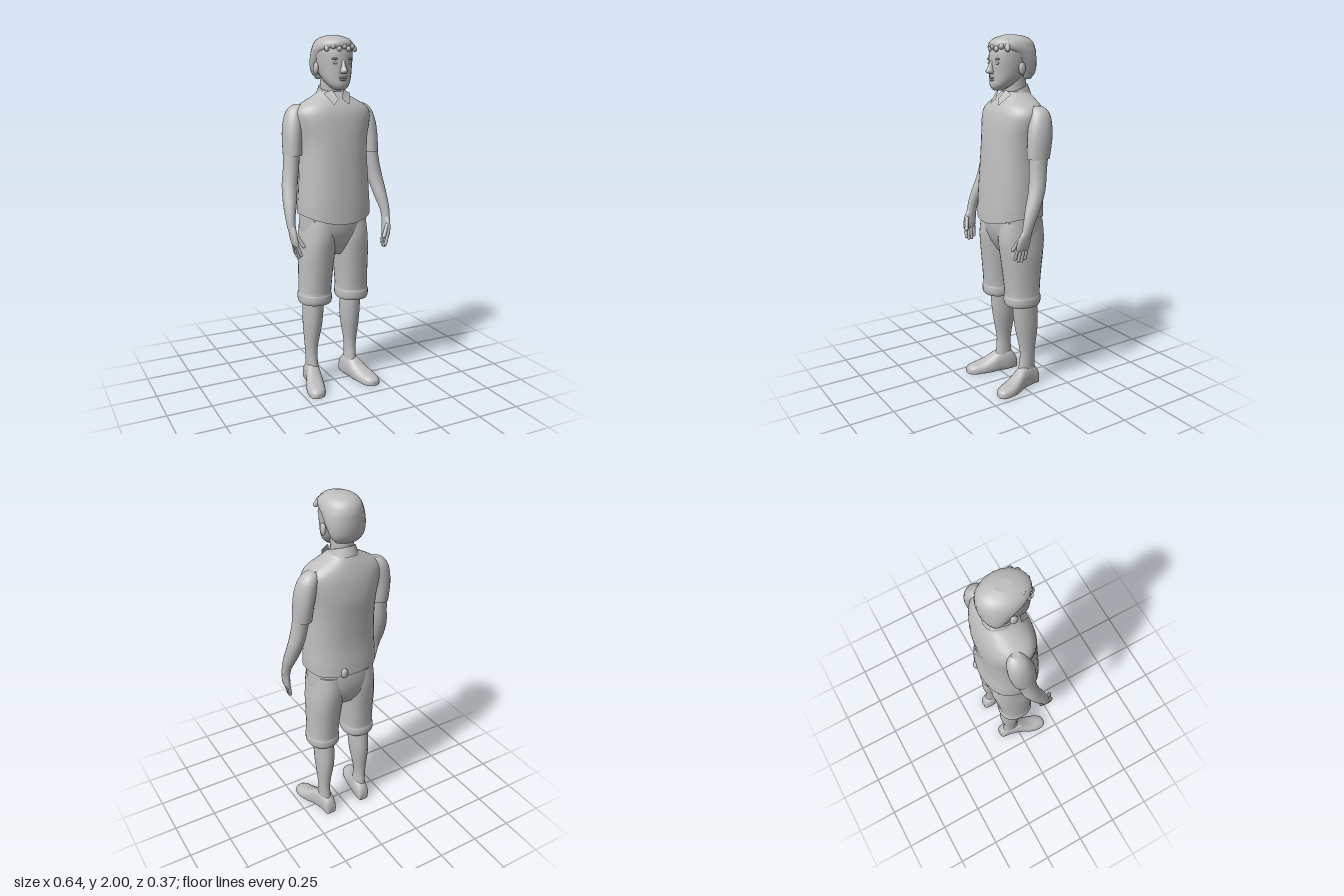
import * as THREE from 'three';

const grey = new THREE.MeshStandardMaterial({ color: 0xbebebe, side: THREE.DoubleSide });
grey.name = 'plain grey';

// Smooth closed skin over rings [height, centre x, half width, front z, back z], listed upward.
// p below 1 makes the rings squarer; adjust(v) may move each vertex.
function loft(rings, { p = 1, seg = 24, sub = 3, adjust } = {}) {
  const mix = (i, f) => rings[i].map((_, k) => {
    const at = (j) => rings[Math.min(rings.length - 1, Math.max(0, j))][k];
    const [a, b, c, d] = [at(i - 1), at(i), at(i + 1), at(i + 2)];
    return b + 0.5 * f * (c - a + f * (2 * a - 5 * b + 4 * c - d + f * (3 * (b - c) + d - a)));
  });
  const rows = [];
  for (let i = 0; i < rings.length - 1; i++) for (let s = 0; s < sub; s++) rows.push(mix(i, s / sub));
  rows.push(rings[rings.length - 1]);

  const pos = [], idx = [], v = new THREE.Vector3();
  const put = (row, t, r = 1) => {
    const [y, cx, rx, zf, zb] = row;
    const s = Math.sin(t), c = Math.cos(t);
    v.set(cx + r * rx * Math.sign(s) * Math.abs(s) ** p, y,
      (zf + zb) / 2 + r * ((zf - zb) / 2) * Math.sign(c) * Math.abs(c) ** p);
    if (adjust) adjust(v);
    pos.push(v.x, v.y, v.z);
  };
  const angle = (j) => (j / seg) * Math.PI * 2;
  rows.forEach((row, i) => {
    for (let j = 0; j < seg; j++) {
      put(row, angle(j));
      if (i === rows.length - 1) continue;
      const a = i * seg + j, b = i * seg + (j + 1) % seg;
      idx.push(a, b, b + seg, a, b + seg, a + seg);
    }
  });
  // End caps with their own vertices so the rims stay crisp
  [rows[0], rows[rows.length - 1]].forEach((row, end) => {
    const start = pos.length / 3;
    put(row, 0, 0);
    for (let j = 0; j < seg; j++) put(row, angle(j));
    for (let j = 0; j < seg; j++) {
      const a = start + 1 + j, b = start + 1 + (j + 1) % seg;
      idx.push(start, ...(end ? [a, b] : [b, a]));
    }
  });
  const g = new THREE.BufferGeometry();
  g.setAttribute('position', new THREE.Float32BufferAttribute(pos, 3));
  g.setIndex(idx);
  g.computeVertexNormals();
  return g;
}

// Rounded rod between two points
function rod(a, b, r) {
  const A = new THREE.Vector3(...a), B = new THREE.Vector3(...b);
  const d = B.clone().sub(A);
  const g = new THREE.CapsuleGeometry(r, d.length(), 4, 10);
  g.applyQuaternion(new THREE.Quaternion().setFromUnitVectors(new THREE.Vector3(0, 1, 0), d.normalize()));
  return g.translate(...A.add(B).multiplyScalar(0.5).toArray());
}

const blob = (x, y, z, rx, ry, rz) => new THREE.SphereGeometry(1, 16, 10).scale(rx, ry, rz).translate(x, y, z);

export function createModel() {
  const model = new THREE.Group();
  model.name = 'standingMan';
  const add = (name, geometry) => {
    const mesh = new THREE.Mesh(geometry, grey);
    mesh.name = name;
    model.add(mesh);
  };

  // Shirt with a curved hem, lowest at the front
  add('shirt', loft([
    [0.985, 0, 0.208, 0.16, -0.172], [1.08, 0, 0.207, 0.157, -0.168], [1.2, 0, 0.2, 0.15, -0.16],
    [1.35, 0, 0.193, 0.14, -0.167], [1.45, 0, 0.2, 0.13, -0.174], [1.52, 0, 0.215, 0.12, -0.17],
    [1.58, 0, 0.222, 0.107, -0.16], [1.62, 0, 0.2, 0.09, -0.148], [1.65, 0, 0.15, 0.07, -0.137],
    [1.68, 0, 0.095, 0.045, -0.122], [1.7, 0, 0.07, 0.03, -0.11],
  ], { p: 0.88, seg: 36, adjust: (v) => {
    const k = THREE.MathUtils.clamp((1.12 - v.y) / 0.135, 0, 1);
    v.y += k * Math.max(0.045 * (v.x / 0.208) ** 2, v.z < 0 ? 0.035 * Math.min(1, -v.z / 0.1) : 0);
  } }));
  add('backPocketBulge', blob(0.06, 1.04, -0.168, 0.02, 0.03, 0.014));

  // Collar band tilted down to the front
  add('collar', loft([[1.66, 0, 0.085, 0.06, -0.128], [1.715, 0, 0.068, 0.03, -0.108]],
    { sub: 1, adjust: (v) => { v.y -= (v.z + 0.035) * 0.35; } }));

  // Neck and head
  add('neck', loft([[1.6, 0, 0.062, 0.03, -0.11], [1.7, 0, 0.06, 0.022, -0.1], [1.8, 0, 0.06, 0.04, -0.1]]));
  add('head', loft([
    [1.708, 0, 0.025, 0.095, 0.045], [1.73, 0, 0.052, 0.112, 0], [1.77, 0, 0.076, 0.112, -0.06],
    [1.82, 0, 0.089, 0.114, -0.115], [1.87, 0, 0.096, 0.114, -0.13], [1.92, 0, 0.098, 0.108, -0.135],
    [1.96, 0, 0.085, 0.09, -0.12], [1.985, 0, 0.05, 0.04, -0.08],
  ], { p: 0.95 }));
  add('nose', loft([[1.795, 0, 0.014, 0.128, 0.09], [1.806, 0, 0.02, 0.146, 0.09],
    [1.83, 0, 0.013, 0.134, 0.09], [1.866, 0, 0.009, 0.117, 0.09]], { seg: 12 }));
  add('upperLip', blob(0, 1.774, 0.11, 0.025, 0.005, 0.009));
  add('lowerLip', blob(0, 1.763, 0.109, 0.021, 0.006, 0.009));

  // Hair cap, longer at the nape, with short fringe locks
  add('hair', loft([
    [1.765, 0, 0.066, -0.05, -0.118], [1.8, 0, 0.094, -0.035, -0.14], [1.85, 0, 0.107, 0.005, -0.15],
    [1.9, 0, 0.11, 0.06, -0.152], [1.93, 0, 0.108, 0.11, -0.15], [1.96, 0, 0.097, 0.11, -0.137],
    [1.983, 0, 0.07, 0.075, -0.108], [1.996, 0, 0.03, 0.025, -0.06],
  ]));
  for (let i = 0; i < 7; i++) {
    const x = (i - 3) * 0.025;
    add('fringeLock', rod([x * 0.8, 1.966, 0.075 - 5 * x * x],
      [x * 1.1 + 0.008, 1.922 + (i % 2) * 0.012, 0.107 - 7 * x * x], 0.014));
  }

  for (const s of [1, -1]) {
    const side = s > 0 ? 'left' : 'right';
    const mirrored = (rings) => rings.map(([y, x, ...rest]) => [y, s * x, ...rest]);

    // Face details
    add(side + 'Eye', blob(s * 0.038, 1.85, 0.1, 0.016, 0.007, 0.008));
    add(side + 'Brow', blob(s * 0.04, 1.872, 0.1, 0.023, 0.006, 0.01));
    add(side + 'Ear', blob(s * 0.1, 1.822, -0.018, 0.013, 0.033, 0.021));

    // Pointed collar flap
    const flap = new THREE.BufferGeometry();
    flap.setAttribute('position', new THREE.Float32BufferAttribute([
      s * 0.01, 1.662, 0.078, s * 0.045, 1.63, 0.098, s * 0.08, 1.69, 0.035, s * 0.035, 1.71, 0.045], 3));
    flap.setIndex(s > 0 ? [0, 1, 2, 0, 2, 3] : [0, 2, 1, 0, 3, 2]);
    flap.computeVertexNormals();
    add(side + 'CollarFlap', flap);

    // Sleeve, arm and hand
    add(side + 'Sleeve', loft(mirrored([
      [1.36, 0.238, 0.05, 0.035, -0.095], [1.45, 0.235, 0.052, 0.03, -0.112], [1.52, 0.226, 0.055, 0.02, -0.118],
      [1.58, 0.213, 0.052, 0.003, -0.115], [1.615, 0.2, 0.04, -0.015, -0.1], [1.632, 0.19, 0.02, -0.035, -0.08],
    ])));
    add(side + 'Arm', loft(mirrored([
      [0.975, 0.294, 0.022, 0.108, 0.05], [1.03, 0.294, 0.026, 0.097, 0.03], [1.1, 0.284, 0.036, 0.078, -0.008],
      [1.2, 0.268, 0.043, 0.045, -0.05], [1.3, 0.251, 0.043, 0.03, -0.07], [1.42, 0.24, 0.043, 0.02, -0.09],
    ]), { seg: 16 }));
    add(side + 'Palm', loft(mirrored([
      [0.885, 0.283, 0.012, 0.138, 0.062], [0.91, 0.286, 0.016, 0.138, 0.055],
      [0.95, 0.291, 0.018, 0.127, 0.05], [0.99, 0.294, 0.021, 0.105, 0.045],
    ]), { seg: 14 }));
    for (let i = 0; i < 4; i++) {
      const z = 0.069 + i * 0.019;
      add(side + 'Finger', rod([s * 0.283, 0.895, z],
        [s * (0.272 - i * 0.003), 0.835 - (i === 1 || i === 2 ? 0.012 : 0), z + 0.006], 0.009));
    }
    add(side + 'Thumb', rod([s * 0.282, 0.945, 0.115], [s * 0.25, 0.885, 0.138], 0.011));

    // Shorts leg with a rolled cuff
    add(side + 'ShortsLeg', loft(mirrored([
      [0.51, 0.118, 0.088, 0.084, -0.108], [0.527, 0.118, 0.094, 0.092, -0.117], [0.56, 0.118, 0.094, 0.092, -0.117],
      [0.58, 0.117, 0.09, 0.088, -0.113], [0.7, 0.112, 0.093, 0.1, -0.125], [0.8, 0.107, 0.098, 0.112, -0.14],
      [0.9, 0.101, 0.096, 0.122, -0.152], [1.0, 0.096, 0.09, 0.11, -0.145],
    ]), { p: 0.9 }));

    // Calf and shoe
    add(side + 'Calf', loft(mirrored([
      [0.08, 0.124, 0.034, 0.018, -0.097], [0.2, 0.128, 0.034, 0.002, -0.09], [0.35, 0.122, 0.052, 0.03, -0.11],
      [0.45, 0.12, 0.057, 0.043, -0.11], [0.56, 0.12, 0.057, 0.05, -0.1],
    ])));
    // Lofted heel to toe, then laid down, with the underside cut flat
    add(side + 'Shoe', loft(mirrored([
      [-0.122, 0.118, 0.024, 0.01, -0.045], [-0.108, 0.12, 0.036, 0.025, -0.09], [-0.06, 0.122, 0.043, 0.025, -0.128],
      [0, 0.135, 0.046, 0.025, -0.12], [0.05, 0.15, 0.053, 0.025, -0.085], [0.1, 0.165, 0.056, 0.025, -0.062],
      [0.15, 0.174, 0.048, 0.025, -0.05], [0.175, 0.178, 0.034, 0.02, -0.04], [0.186, 0.18, 0.014, 0.005, -0.025],
    ]), { p: 0.85, adjust: (v) => { v.z = Math.min(v.z, 0); } }).rotateX(Math.PI / 2));
  }

  // Seat and waist of the shorts
  add('shortsSeat', loft([
    [0.79, 0, 0.09, 0.05, -0.1], [0.86, 0, 0.18, 0.095, -0.142],
    [0.95, 0, 0.196, 0.125, -0.16], [1.06, 0, 0.192, 0.13, -0.152],
  ], { p: 0.9 }));

  return model;
}
